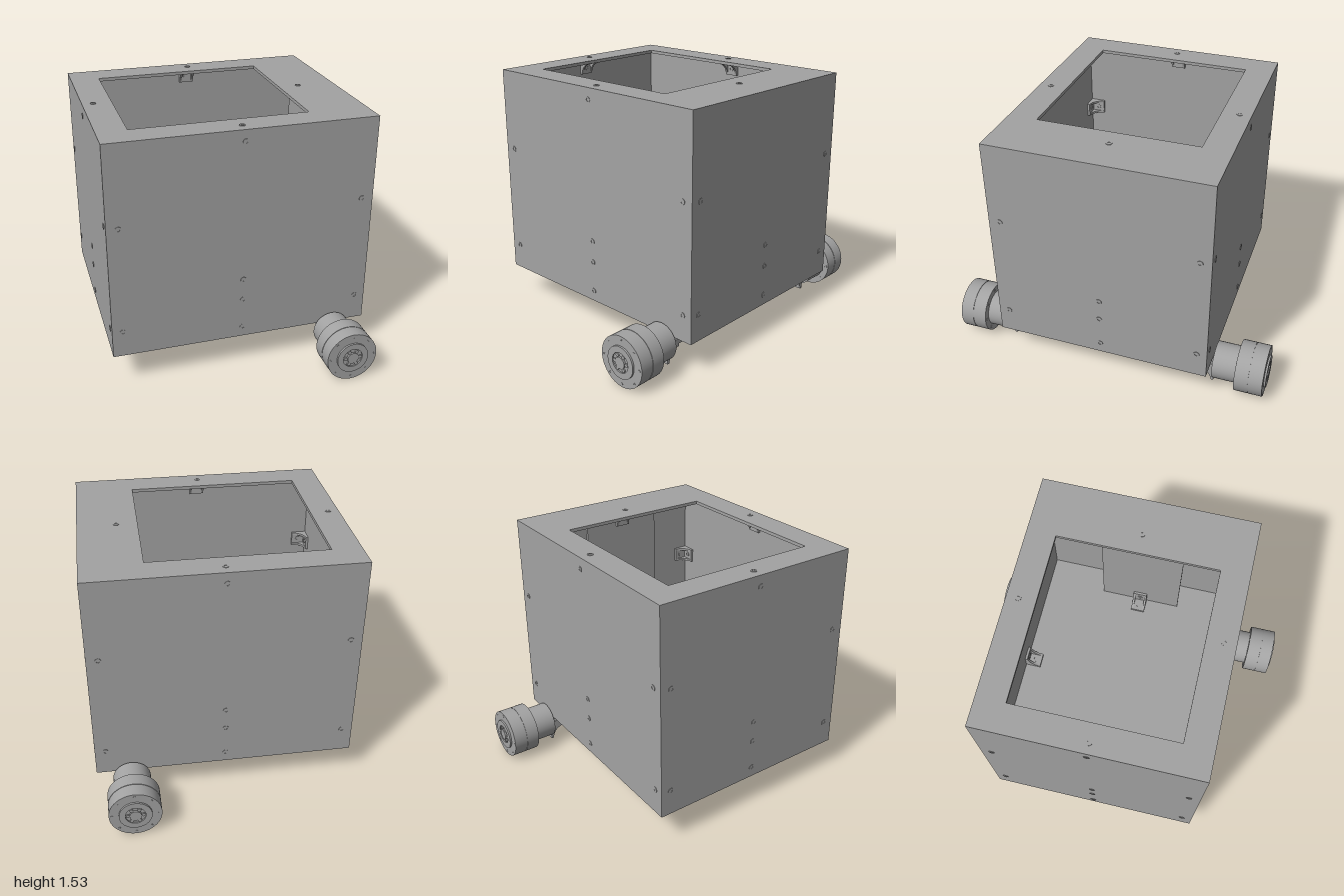
import * as THREE from 'three';
import { toCreasedNormals } from 'three/addons/utils/BufferGeometryUtils.js';

const V = (x, y, z) => new THREE.Vector3(x, y, z);
const X = V(1, 0, 0), Y = V(0, 1, 0), Z = V(0, 0, 1);
const neg = (v) => v.clone().negate();

export function createModel() {
  const root = new THREE.Group();
  const grey = new THREE.MeshStandardMaterial({ color: 0xa3a3a3 });
  grey.name = 'machined grey';

  const add = (parent, name, geo, pos = V(0, 0, 0)) => {
    const m = new THREE.Mesh(geo, grey);
    m.name = name;
    m.position.copy(pos);
    parent.add(m);
    return m;
  };
  const box = (parent, name, w, h, d, x, y, z) =>
    add(parent, name, new THREE.BoxGeometry(w, h, d), V(x, y, z));
  // Turned part whose axis runs along +z; profile is [radius, height]
  const turned = (profile, sides) => {
    const g = new THREE.LatheGeometry(profile.map(([r, h]) => new THREE.Vector2(r, h)), sides);
    return toCreasedNormals(g.rotateX(Math.PI / 2), 0.6);
  };

  // Screw head with a socket, facing along a normal
  const screwGeo = turned([[0.018, 0], [0.018, 0.003], [0.009, 0.003], [0.009, 0.0005], [0, 0.0005]], 20);
  const screw = (parent, x, y, z, normal, scale = 1) => {
    const m = add(parent, 'screw', screwGeo, V(x, y, z));
    m.quaternion.setFromUnitVectors(Z, normal);
    m.scale.setScalar(scale);
  };

  // ---- Enclosure ----
  const W = 0.785, D = 0.66, Y0 = 0.205, Y1 = 1.525, T = 0.02;
  const H = Y1 - Y0, MY = (Y0 + Y1) / 2;
  const body = new THREE.Group();
  body.name = 'enclosure';
  root.add(body);
  for (const s of [-1, 1]) {
    box(body, s > 0 ? 'frontPanel' : 'backPanel', 2 * W, H, T, 0, MY, s * (D - T / 2));
    box(body, s > 0 ? 'leftPanel' : 'rightPanel', T, H, 2 * (D - T), s * (W - T / 2), MY, 0);
  }

  // Flat horizontal plate with cut-outs; shape y maps to -z
  const plate = (name, holes, y) => {
    const a = W - T, b = D - T;
    const s = new THREE.Shape([[-a, -b], [a, -b], [a, b], [-a, b]].map(([x, z]) => new THREE.Vector2(x, z)));
    s.holes.push(...holes);
    const g = new THREE.ExtrudeGeometry(s, { depth: T, bevelEnabled: false, curveSegments: 10 });
    add(body, name, g.rotateX(-Math.PI / 2), V(0, y, 0));
  };
  const rectHole = (x0, x1, z) => new THREE.Path(
    [[x0, -z], [x0, z], [x1, z], [x1, -z]].map(([x, y]) => new THREE.Vector2(x, y)));
  const roundHole = (x, z, r) => new THREE.Path().absarc(x, z, r, 0, Math.PI * 2, true);
  plate('topPanel', [rectHole(-0.61, 0.43, 0.485)], Y1 - T);
  const floorHoles = [];
  for (const x of [-0.265, -0.49]) for (const z of [-0.11, 0.11]) floorHoles.push(roundHole(x, z, 0.017));
  for (const z of [-0.04, 0, 0.04]) floorHoles.push(roundHole(0.3, z, 0.006));
  plate('bottomPanel', floorHoles, Y0);
  plate('innerShelf', [], 0.517);
  box(body, 'innerPartition', T, Y1 - T - 0.537, 0.52, 0.615, (Y1 - T + 0.537) / 2, 0);

  // ---- Screws on the panels ----
  for (const s of [-1, 1]) {
    const nz = V(0, 0, s), nx = V(s, 0, 0);
    for (const y of [0.27, 0.46, 0.595]) {
      screw(body, 0, y, s * D, nz);
      screw(body, s * W, y, 0, nx);
    }
    screw(body, 0, 1.455, s * D, nz);
    for (const e of [-1, 1]) {
      screw(body, e * 0.717, 1.025, s * D, nz);
      screw(body, e * 0.722, 0.365, s * D, nz);
      screw(body, s * W, 1.025, e * 0.592, nx);
      screw(body, s * W, 0.365, e * 0.597, nx);
    }
    screw(body, 0, Y1, s * 0.59, Y);
    screw(body, 0, Y0, s * 0.59, neg(Y));
    screw(body, s * 0.715, Y0, 0, neg(Y));
  }
  screw(body, -W, 1.455, 0, neg(X));
  screw(body, -0.72, Y1, 0, Y);
  screw(body, 0.555, Y1, 0, Y);

  // ---- Corner brackets: two legs along u and v with curved side ribs ----
  const L = 0.095, rib = new THREE.Shape();
  rib.moveTo(0, 0);
  rib.lineTo(L, 0);
  rib.lineTo(L, 0.015);
  rib.quadraticCurveTo(0.025, 0.025, 0.015, L);
  rib.lineTo(0, L);
  const ribGeo = new THREE.ExtrudeGeometry(rib, { depth: 0.014, bevelEnabled: false, curveSegments: 8 });
  const bracket = (parent, pos, u, v) => {
    const g = new THREE.Group();
    g.name = 'cornerBracket';
    box(g, 'bracketLeg', L, 0.015, 0.09, L / 2, 0.0075, 0);
    box(g, 'bracketLeg', 0.015, L, 0.09, 0.0075, L / 2, 0);
    add(g, 'bracketRib', ribGeo, V(0, 0, -0.045));
    add(g, 'bracketRib', ribGeo, V(0, 0, 0.031));
    screw(g, 0.052, 0.015, 0, Y);
    screw(g, 0.015, 0.052, 0, X);
    g.quaternion.setFromRotationMatrix(new THREE.Matrix4().makeBasis(u, v, u.clone().cross(v)));
    g.position.copy(pos);
    parent.add(g);
  };
  const ix = W - T, iz = D - T;
  for (const s of [-1, 1]) {
    for (const e of [-1, 1]) for (const y of [0.365, 1.025])
      bracket(body, V(s * ix, y, e * iz), V(-s, 0, 0), V(0, 0, -e));
    for (const [y, up] of [[Y0 + T, Y], [0.517, neg(Y)], [0.537, Y], [Y1 - T, neg(Y)]]) {
      bracket(body, V(0, y, s * iz), V(0, 0, -s), up);
      if (y < 1 || s < 0) bracket(body, V(s * ix, y, 0), V(-s, 0, 0), up);
    }
  }
  bracket(body, V(0.605, Y1 - T, 0), neg(X), neg(Y));
  bracket(body, V(0.605, 0.537, 0), neg(X), Y);

  // ---- Slotted axle beam ----
  const AX = 0.575, AY = 0.157, h = 0.045;
  const side = [[-h, -h], [-0.013, -h], [-0.013, -0.034], [-0.024, -0.034], [-0.012, -0.02],
    [0.012, -0.02], [0.024, -0.034], [0.013, -0.034], [0.013, -h]];
  const outline = [];
  for (let k = 0; k < 4; k++) {
    for (const [x, y] of side) outline.push(new THREE.Vector2(x, y).rotateAround(new THREE.Vector2(), k * Math.PI / 2));
  }
  const beamShape = new THREE.Shape(outline);
  beamShape.holes.push(roundHole(0, 0, 0.009));
  const beam = new THREE.ExtrudeGeometry(beamShape, { depth: 1.34, bevelEnabled: false });
  add(root, 'axleBeam', beam, V(AX, 0.16, -0.67));

  // ---- Wheels with motors ----
  const motorGeo = turned([[0, 0.67], [0.113, 0.67], [0.113, 0.82]], 48);
  const wheelGeo = turned([[0, 0.815], [0.155, 0.815], [0.155, 0.898], [0.152, 0.898], [0.152, 0.902],
    [0.155, 0.902], [0.155, 0.985], [0.097, 0.985], [0.097, 0.996], [0.06, 0.996], [0.06, 0.988],
    [0.035, 0.988], [0.035, 1], [0, 1]], 64);
  const studGeo = turned([[0.011, 0.985], [0.011, 0.996], [0, 0.996]], 12);
  for (const s of [-1, 1]) {
    const g = new THREE.Group();
    g.name = s > 0 ? 'frontWheel' : 'backWheel';
    g.position.set(AX, AY, 0);
    if (s < 0) g.rotation.y = Math.PI;
    add(g, 'motorHousing', motorGeo);
    add(g, 'wheelDrum', wheelGeo);
    for (let i = 0; i < 8; i++) {
      const a = i * Math.PI / 4, x = 0.136 * Math.cos(a), y = 0.136 * Math.sin(a);
      screw(g, x, y, 0.985, Z, 0.4);
      screw(g, x, y, 0.815, neg(Z), 0.6);
    }
    for (let i = 0; i < 6; i++) {
      const a = i * Math.PI / 3;
      add(g, 'hubStud', studGeo, V(0.046 * Math.cos(a), 0.046 * Math.sin(a), 0));
    }
    root.add(g);
    // Bracket tying the beam end to the motor
    bracket(root, V(AX, 0.115, s * 0.67), V(0, 0, -s), neg(Y));
  }
  return root;
}
